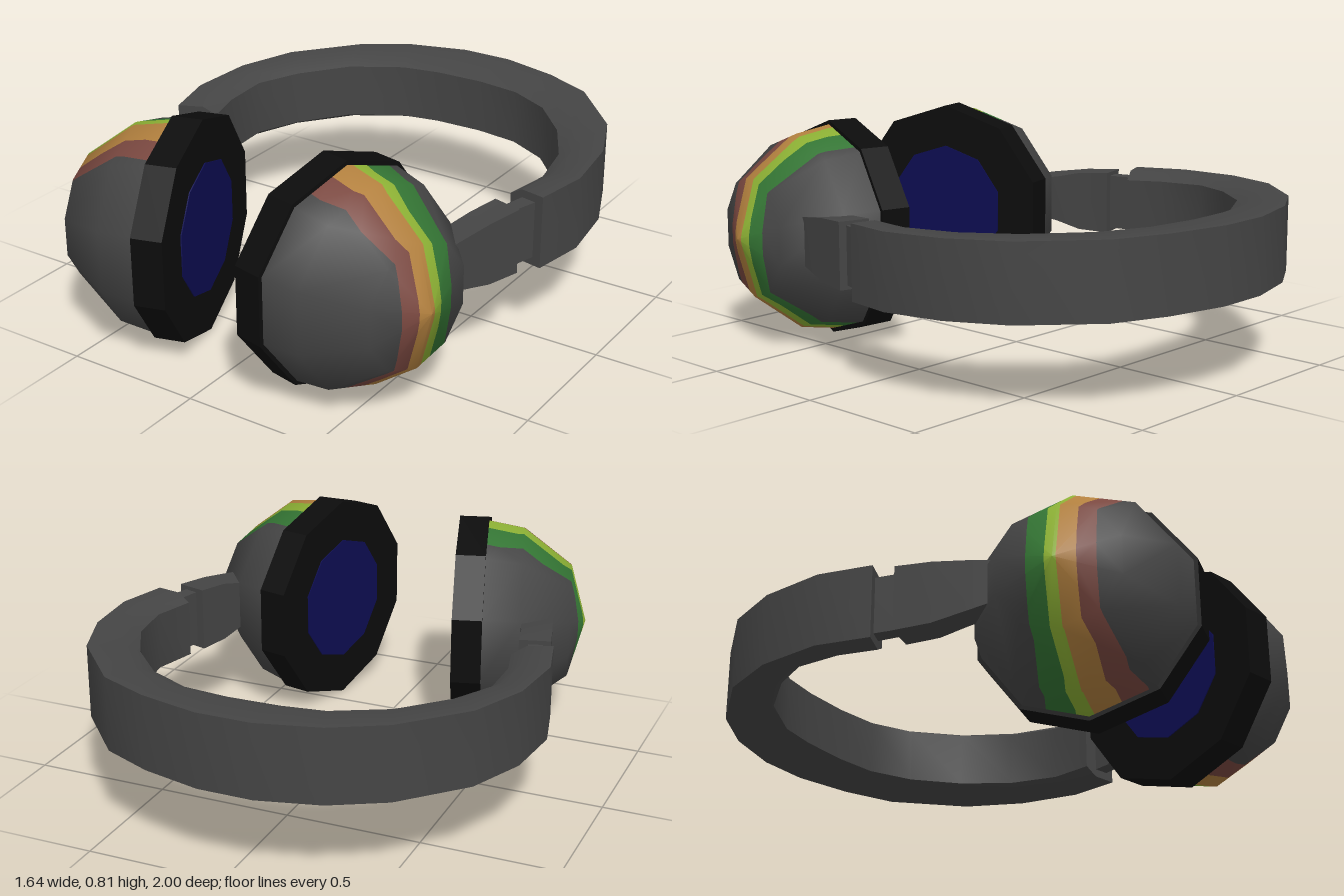
import * as THREE from 'three';
import { toCreasedNormals } from 'three/addons/utils/BufferGeometryUtils.js';

const paint = (name, color) => {
  const m = new THREE.MeshStandardMaterial({ color });
  m.name = name;
  return m;
};

// Closed loft through rings of [x, y, z] points, with end caps
function loft(rings, crease = 0.7) {
  const n = rings[0].length, pos = [];
  const tri = (...p) => p.forEach(v => pos.push(...v));
  for (let k = 0; k < rings.length - 1; k++) {
    const a = rings[k], b = rings[k + 1];
    for (let i = 0; i < n; i++) {
      const j = (i + 1) % n;
      tri(a[i], a[j], b[j]);
      tri(a[i], b[j], b[i]);
    }
  }
  const first = rings[0], last = rings[rings.length - 1];
  for (let i = 1; i < n - 1; i++) {
    tri(first[0], first[i + 1], first[i]);
    tri(last[0], last[i], last[i + 1]);
  }
  const g = new THREE.BufferGeometry();
  g.setAttribute('position', new THREE.Float32BufferAttribute(pos, 3));
  return toCreasedNormals(g, crease);
}

// Upright cross-section between an outer and an inner plan point
function section([ox, oz, ix, iz], cy, h, innerH = h) {
  const mx = ox + (ix - ox) * 0.65, mz = oz + (iz - oz) * 0.65;
  return [
    [ox, cy + h, oz], [ox, cy - h, oz], [mx, cy - h, mz],
    [ix, cy - innerH, iz], [ix, cy + innerH, iz], [mx, cy + h, mz],
  ];
}

// Part of a geometry where lo <= f <= hi, f being given at each vertex
function slice(source, f, lo, hi) {
  const g = source.toNonIndexed(), P = g.attributes.position, N = g.attributes.normal;
  const pos = [], nor = [];
  const clip = (poly, inside) => {
    const out = [];
    poly.forEach((a, i) => {
      const b = poly[(i + 1) % poly.length], da = inside(a), db = inside(b);
      if (da >= 0) out.push(a);
      if (da * db < 0) {
        const t = da / (da - db);
        out.push({ p: a.p.clone().lerp(b.p, t), n: a.n.clone().lerp(b.n, t), f: a.f + (b.f - a.f) * t });
      }
    });
    return out;
  };
  for (let i = 0; i < P.count; i += 3) {
    let poly = [0, 1, 2].map(k => {
      const p = new THREE.Vector3().fromBufferAttribute(P, i + k);
      return { p, n: new THREE.Vector3().fromBufferAttribute(N, i + k), f: f(p) };
    });
    poly = clip(poly, v => v.f - lo);
    poly = clip(poly, v => hi - v.f);
    for (let k = 1; k < poly.length - 1; k++) {
      for (const v of [poly[0], poly[k], poly[k + 1]]) {
        pos.push(...v.p.toArray());
        nor.push(...v.n.normalize().toArray());
      }
    }
  }
  const out = new THREE.BufferGeometry();
  out.setAttribute('position', new THREE.Float32BufferAttribute(pos, 3));
  out.setAttribute('normal', new THREE.Float32BufferAttribute(nor, 3));
  return out;
}

export function createModel() {
  const grey = paint('dark grey', 0x454545), black = paint('black', 0x0c0c0c);
  const blue = paint('navy', 0x0d0d52), green = paint('green', 0x347534);
  const lime = paint('lime', 0x8cb034), amber = paint('amber', 0xb2803e);
  const brown = paint('red brown', 0x7a4840);

  const model = new THREE.Group();
  model.name = 'headphones';
  const add = (parent, name, geometry, material) => {
    const mesh = new THREE.Mesh(geometry, material);
    mesh.name = name;
    parent.add(mesh);
    return mesh;
  };

  // Headband: outer x, z and inner x, z from the left end round the back
  const bandPath = [
    [0.78, 0.03, 0.64, 0], [0.82, -0.17, 0.675, -0.17], [0.79, -0.41, 0.64, -0.36],
    [0.70, -0.63, 0.54, -0.54], [0.49, -0.86, 0.40, -0.69], [0.30, -0.945, 0.24, -0.77],
    [0.08, -1, 0.07, -0.79], [-0.12, -1, -0.12, -0.785], [-0.34, -0.94, -0.27, -0.76],
    [-0.525, -0.83, -0.46, -0.655], [-0.72, -0.61, -0.60, -0.49], [-0.805, -0.39, -0.68, -0.33],
    [-0.825, -0.14, -0.675, -0.14], [-0.775, 0.06, -0.64, 0],
  ];
  add(model, 'headband', loft(bandPath.map(p => section(p, 0.425 - 0.03 * p[1], 0.135, 0.105))), grey);

  // Sliders and arms, mirrored
  const mirror = (rings, s) => s > 0 ? rings
    : rings.map(r => r.map(([x, y, z]) => [-x, y, z])).reverse();
  // Mirroring flips the winding and reversing the path flips it back
  for (const [side, s] of [['left', 1], ['right', -1]]) {
    const arm = [
      section([0.64, 0.50, 0.55, 0.44], 0.425, 0.07),
      section([0.67, 0.40, 0.575, 0.31], 0.425, 0.09),
      section([0.71, 0.26, 0.605, 0.22], 0.422, 0.114),
      section([0.745, 0.13, 0.635, 0.1], 0.425, 0.12),
    ];
    const slider = [
      section([0.71, 0.15, 0.66, 0.14], 0.425, 0.105),
      section([0.76, -0.02, 0.70, -0.03], 0.425, 0.105),
    ];
    add(model, side + 'Arm', loft(mirror(arm, s)), grey);
    add(model, side + 'Slider', loft(mirror(slider, s)), grey);
  }

  // Ear cups: ten-sided domes with local y pointing outward and x to the front
  const profile = [[0.39, 0], [0.366, 0.135], [0.224, 0.322], [0, 0.385]];
  const dome = new THREE.LatheGeometry(profile.map(p => new THREE.Vector2(...p)), 10);
  const bands = [
    ['rearShell', grey, -9, -0.192], ['greenStripe', green, -0.192, -0.09],
    ['limeStripe', lime, -0.09, -0.028], ['amberStripe', amber, -0.028, 0.065],
    ['brownStripe', brown, 0.065, 0.157], ['frontShell', grey, 0.157, 9],
  ];
  const cups = [
    ['leftCup', 0.3675, 0.6075, 0.976, 0.217, 0],
    ['rightCup', -0.335, 0.625, -0.96, 0.28, 0.045],
  ];
  for (const [name, x, z, ax, az, shift] of cups) {
    const cup = new THREE.Group();
    cup.name = name;
    const out = new THREE.Vector3(ax, 0, az).normalize();
    const fwd = new THREE.Vector3(-az * Math.sign(ax), 0, Math.abs(ax)).normalize();
    const basis = new THREE.Matrix4().makeBasis(fwd, out, fwd.clone().cross(out));
    cup.quaternion.setFromRotationMatrix(basis);
    cup.position.set(x, 0.405, z);

    // Stripes narrow towards the crown of the dome
    const across = p => p.x / (1 - 0.4 * p.y / 0.385) - shift;
    for (const [part, material, lo, hi] of bands) add(cup, part, slice(dome, across, lo, hi), material);

    // Cushion and inner speaker cover
    const pad = toCreasedNormals(new THREE.CylinderGeometry(0.405, 0.405, 0.112, 10), 0.3);
    add(cup, 'cushion', pad, black).position.y = -0.056;
    add(cup, 'speakerCover', new THREE.CylinderGeometry(0.245, 0.245, 0.006, 10), blue).position.y = -0.113;
    model.add(cup);
  }
  return model;
}
